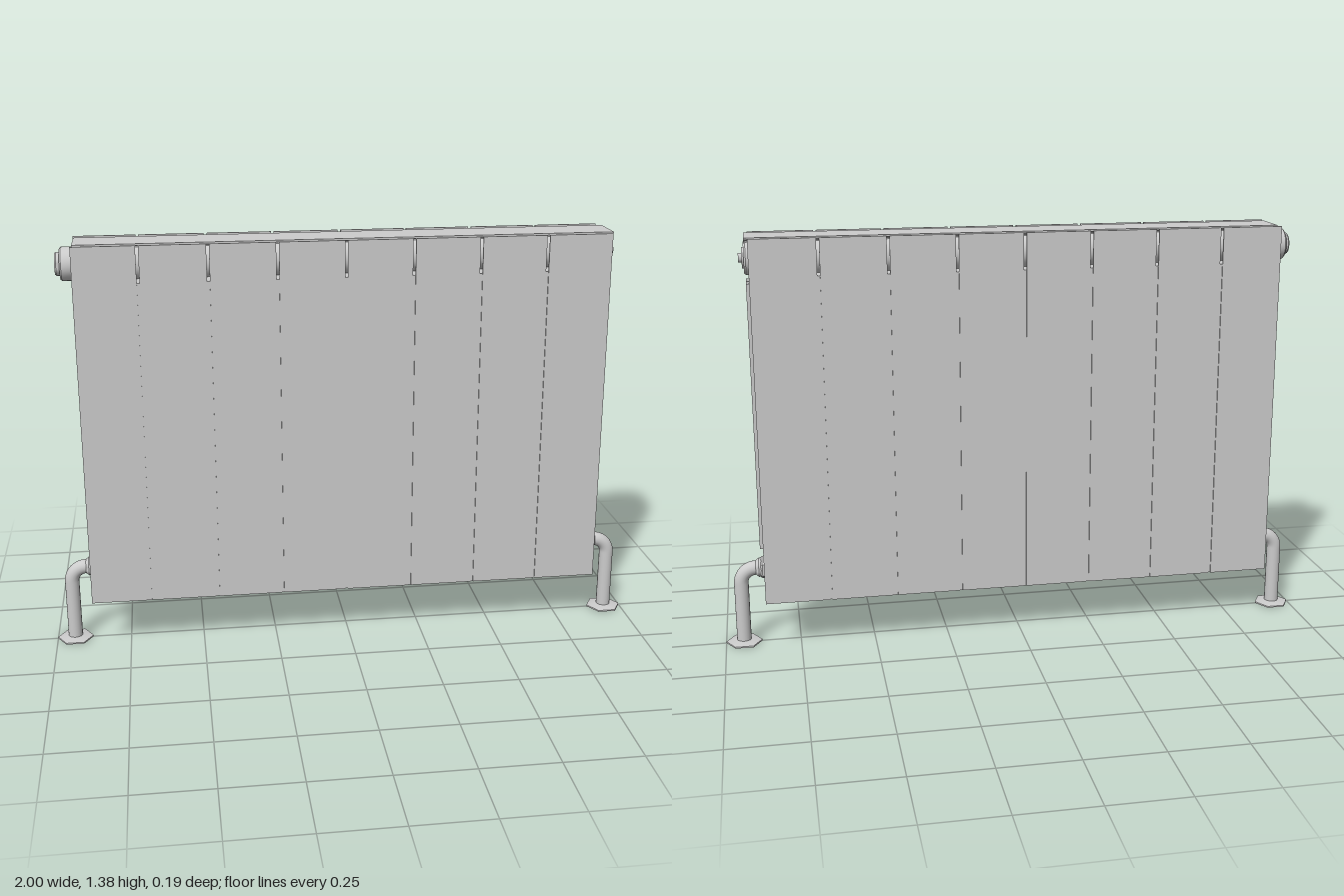
import * as THREE from 'three';
import { toCreasedNormals } from 'three/addons/utils/BufferGeometryUtils.js';

const grey = new THREE.MeshStandardMaterial({ color: 0xcccccc });

function add(parent, name, geometry, x = 0, y = 0, z = 0) {
  const mesh = new THREE.Mesh(geometry, grey);
  mesh.name = name;
  mesh.position.set(x, y, z);
  parent.add(mesh);
  return mesh;
}

// Turned part around y from [height, radius] pairs
function turned(profile, sides, start = 0) {
  const points = profile.map(([h, r]) => new THREE.Vector2(r, h));
  return toCreasedNormals(new THREE.LatheGeometry(points, sides, start), 0.6);
}

// The same, laid along x
const turnedX = (profile, sides, start) => turned(profile, sides, start).rotateZ(-Math.PI / 2);

// Supply pipe with floor flange and hexagonal union, made for the +x end
function makePipe(name) {
  const group = new THREE.Group();
  group.name = name;
  const v = (x, y) => new THREE.Vector3(x, y, 0);
  const path = new THREE.CurvePath();
  path.add(new THREE.LineCurve3(v(0.94, 0), v(0.94, 0.215)));
  path.add(new THREE.CubicBezierCurve3(v(0.94, 0.215), v(0.94, 0.243), v(0.918, 0.265), v(0.89, 0.265)));
  path.add(new THREE.LineCurve3(v(0.89, 0.265), v(0.82, 0.265)));
  add(group, 'pipe', new THREE.TubeGeometry(path, 60, 0.024, 20));
  add(group, 'floorFlange', turned([[0, 0], [0, 0.06], [0.005, 0.06], [0.012, 0.026], [0.012, 0]], 6, Math.PI / 6), 0.94);
  add(group, 'unionNut', turnedX([[0.825, 0], [0.825, 0.04], [0.868, 0.04], [0.874, 0.035], [0.874, 0]], 6, Math.PI / 6), 0, 0.265);
  add(group, 'unionCollar', turnedX([[0.87, 0], [0.87, 0.032], [0.88, 0.032], [0.89, 0.024], [0.89, 0]], 24), 0, 0.265);
  return group;
}

export function createModel() {
  const model = new THREE.Group();
  model.name = 'radiator';

  // Core between the face panels
  add(model, 'core', new THREE.BoxGeometry(1.66, 1.085, 0.186), 0, 0.7125, 0);

  // Eight face panels on the front and back, with narrow gaps
  const count = 8, pitch = 0.2192, gap = 0.009;
  for (const side of [1, -1]) {
    for (let i = 0; i < count; i++) {
      const left = i === 0 ? -0.872 : -0.01 + (i - 4) * pitch + gap / 2;
      const right = -0.01 + (i - 3) * pitch - gap / 2;
      add(model, side > 0 ? 'frontPanel' : 'backPanel',
        new THREE.BoxGeometry(right - left, 1.205, 0.005), (left + right) / 2, 0.7725, side * 0.0945);
    }
  }

  // Upright fins on both ends
  for (const end of [1, -1]) {
    for (const z of [-0.053, 0, 0.053]) {
      add(model, 'endFin', new THREE.BoxGeometry(0.045, 0.88, 0.005), end * 0.85, 0.79, z);
    }
  }

  // Upper header tube, its end plug and air vent
  add(model, 'header', turnedX([[-0.865, 0], [-0.865, 0.055], [0.87, 0.055], [0.876, 0.05], [0.876, 0]], 24), 0, 1.305, 0);
  add(model, 'endPlug', turnedX([[-0.926, 0], [-0.926, 0.034], [-0.921, 0.038], [-0.91, 0.038],
    [-0.91, 0.05], [-0.905, 0.054], [-0.86, 0.054], [-0.86, 0]], 24), 0, 1.305, 0);
  add(model, 'airVent', turnedX([[0.87, 0], [0.87, 0.034], [0.882, 0.034], [0.882, 0.015], [0.893, 0.015], [0.893, 0]], 20), 0, 1.305, 0);

  // Top rail, thin at the edges and tapering down onto the header
  const rail = new THREE.Shape([[-0.065, 1.375], [-0.065, 1.369], [-0.02, 1.359], [-0.02, 1.345],
    [0.02, 1.345], [0.02, 1.359], [0.065, 1.369], [0.065, 1.375]].map(([a, b]) => new THREE.Vector2(a, b)));
  const railGeometry = new THREE.ExtrudeGeometry(rail, { depth: 1.742, bevelEnabled: false });
  railGeometry.translate(0, 0, -0.868).rotateY(Math.PI / 2);
  add(model, 'topRail', railGeometry);

  // Pipes at both ends
  const leftPipe = makePipe('leftPipe');
  const rightPipe = makePipe('rightPipe');
  rightPipe.rotation.y = Math.PI;
  model.add(leftPipe, rightPipe);

  return model;
}
